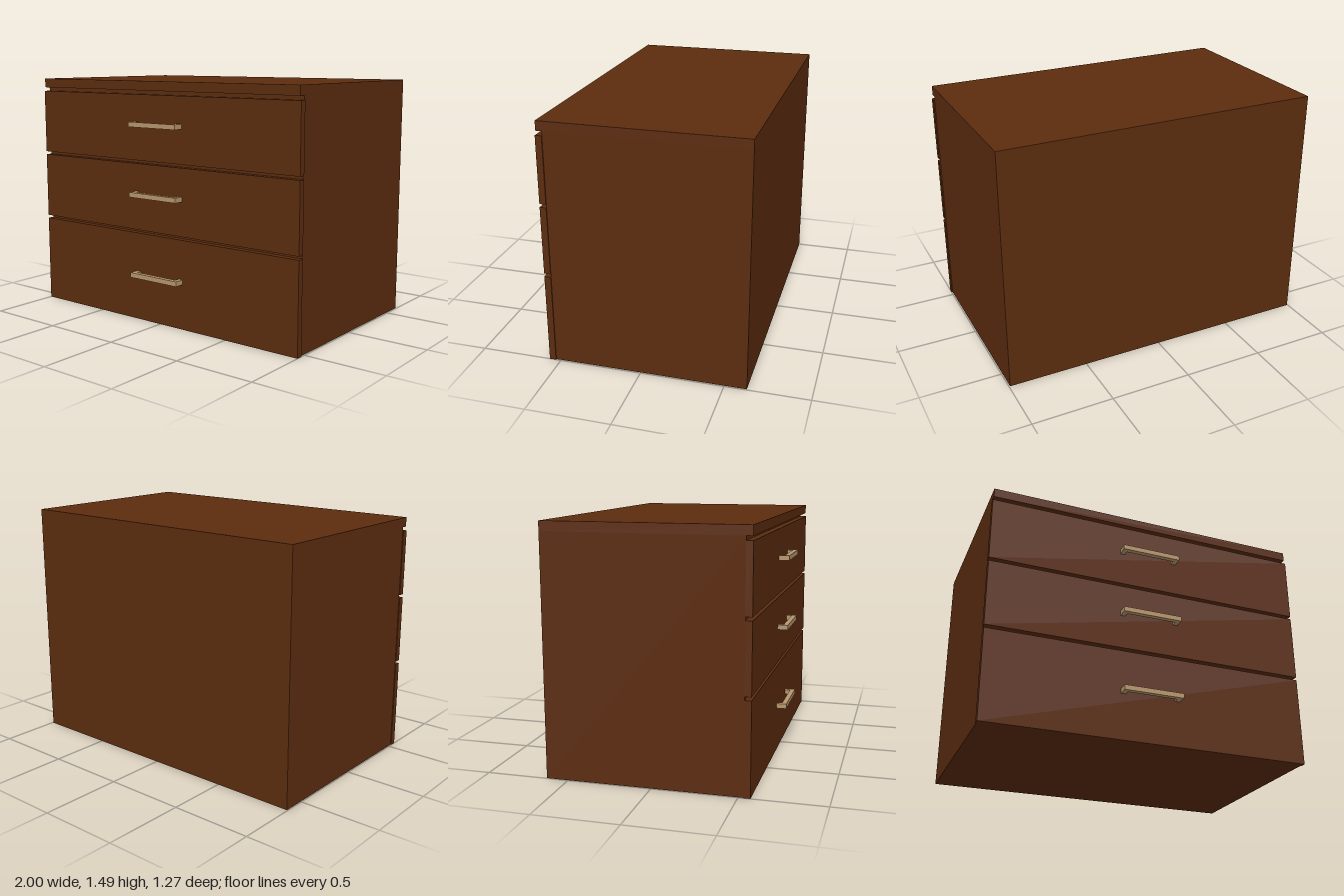
import * as THREE from 'three';

export function createModel() {
  const group = new THREE.Group();
  const wood = new THREE.MeshStandardMaterial({ color: 0x5c2c0f });
  wood.name = 'dark wood';
  const brass = new THREE.MeshStandardMaterial({ color: 0xb8966c });
  brass.name = 'pale brass';

  // Box given by its lower and upper bounds on each axis
  const box = (name, [x0, x1], [y0, y1], [z0, z1]) => {
    const mesh = new THREE.Mesh(new THREE.BoxGeometry(x1 - x0, y1 - y0, z1 - z0), wood);
    mesh.position.set((x0 + x1) / 2, (y0 + y1) / 2, (z0 + z1) / 2);
    mesh.name = name;
    group.add(mesh);
  };

  // Carcass and the top slab that overhangs the front
  const width = [-0.995, 0.993];
  box('carcass', width, [0, 1.43], [-0.632, 0.531]);
  box('topSlab', width, [1.43, 1.487], [-0.632, 0.568]);

  // U-shaped pull, drawn in plan and extruded upwards
  const plan = new THREE.Shape([
    [-0.187, 0], [-0.187, 0.064], [0.183, 0.064], [0.183, 0],
    [0.153, 0], [0.153, 0.034], [-0.157, 0.034], [-0.157, 0],
  ].map(([x, y]) => new THREE.Vector2(x, y)));
  const pull = new THREE.ExtrudeGeometry(plan, { depth: 0.03, bevelEnabled: false });
  pull.rotateX(Math.PI / 2);
  pull.translate(0, 0.015, 0);

  // Drawer fronts: bottom, top and handle height
  const drawers = [
    ['bottom', 0, 0.552, 0.296],
    ['middle', 0.572, 0.985, 0.799],
    ['upper', 1.005, 1.406, 1.228],
  ];
  for (const [level, y0, y1, handleY] of drawers) {
    box(`${level}DrawerFront`, [-1, 1], [y0, y1], [0.531, 0.57]);
    const handle = new THREE.Mesh(pull, brass);
    handle.name = `${level}Handle`;
    handle.position.set(0, handleY, 0.569);
    group.add(handle);
  }
  return group;
}
